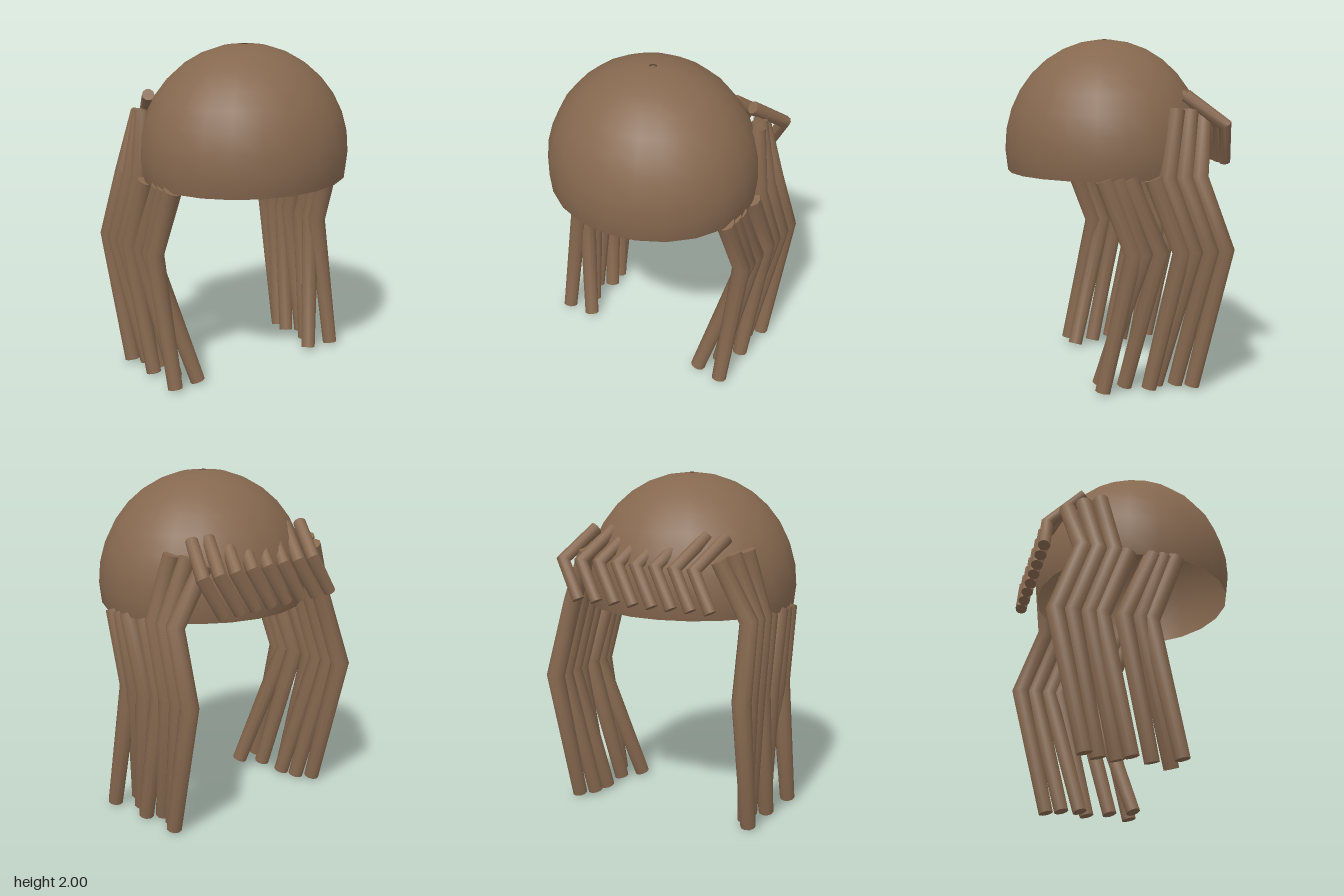
import * as THREE from 'three';
import { toCreasedNormals } from 'three/addons/utils/BufferGeometryUtils.js';

const SIDES = 10;

// Capped tube with mitred bends through points [x, y, z, radius]
function bentTube(points) {
  const pts = points.map(p => new THREE.Vector3(p[0], p[1], p[2]));
  const pos = [], index = [];
  const ref = new THREE.Vector3(1, 0, 0);
  const last = pts.length - 1;
  pts.forEach((p, i) => {
    const a = pts[Math.min(i + 1, last)].clone().sub(pts[Math.min(i, last - 1)]).normalize();
    const b = pts[Math.max(i, 1)].clone().sub(pts[Math.max(i - 1, 0)]).normalize();
    const t = a.add(b).normalize();
    const u = new THREE.Vector3().crossVectors(t, ref).normalize();
    const v = new THREE.Vector3().crossVectors(t, u);
    for (let k = 0; k < SIDES; k++) {
      const ang = (k / SIDES) * Math.PI * 2;
      const q = p.clone()
        .addScaledVector(u, Math.cos(ang) * points[i][3])
        .addScaledVector(v, Math.sin(ang) * points[i][3]);
      pos.push(q.x, q.y, q.z);
    }
  });
  for (let i = 0; i < last; i++) {
    for (let k = 0; k < SIDES; k++) {
      const n = (k + 1) % SIDES, a = i * SIDES;
      index.push(a + k, a + n, a + SIDES + k, a + n, a + SIDES + n, a + SIDES + k);
    }
  }
  // End caps
  const e = last * SIDES;
  for (let k = 1; k < SIDES - 1; k++) {
    index.push(0, k + 1, k, e, e + k, e + k + 1);
  }
  const geo = new THREE.BufferGeometry();
  geo.setAttribute('position', new THREE.Float32BufferAttribute(pos, 3));
  geo.setIndex(index);
  return toCreasedNormals(geo, 0.9);
}

export function createModel() {
  const model = new THREE.Group();
  model.name = 'wig';
  const hair = new THREE.MeshStandardMaterial({ color: 0x86684f, side: THREE.DoubleSide });
  hair.name = 'brown hair';

  function add(name, geo, parent = model) {
    const mesh = new THREE.Mesh(geo, hair);
    mesh.name = name;
    parent.add(mesh);
  }

  // Open dome with a small hole at the crown
  const dome = new THREE.SphereGeometry(0.64, 22, 9, 0, Math.PI * 2, 0.035, 1.756);
  dome.scale(1, 1, 0.935);
  dome.translate(0, 1.36, 0.036);
  add('cap', dome);

  // Long side locks: bottom x, bottom z, knee z, upper z, optional tip [x, y, z]
  const locks = [
    [0.60, 0.165, -0.01, 0.15],
    [0.43, 0.15, -0.07, 0.08],
    [0.51, 0.02, -0.16, 0.02],
    [0.58, -0.11, -0.29, -0.13],
    [0.50, -0.17, -0.36, -0.21, [0.51, 1.61, -0.28]],
    [0.52, -0.28, -0.455, -0.305, [0.47, 1.6, -0.37]],
    [0.58, -0.365, -0.545, -0.395, [0.43, 1.57, -0.46]],
  ];
  for (const side of [1, -1]) {
    const group = new THREE.Group();
    group.name = side > 0 ? 'leftLocks' : 'rightLocks';
    model.add(group);
    for (const [bx, bz, kz, uz, tip] of locks) {
      const path = [
        [side * bx, 0.012, bz, 0.045],
        [side * 0.615, 0.81, kz, 0.056],
        [side * 0.585, 1.23, uz, 0.055],
      ];
      if (tip) path.push([side * tip[0], tip[1], tip[2], 0.05]);
      add('lock', bentTube(path), group);
    }
  }

  // Row of short bent locks across the back
  const backRow = new THREE.Group();
  backRow.name = 'backLocks';
  model.add(backRow);
  for (let i = 0; i < 8; i++) {
    const x = -0.425 + i * 0.122;
    add('backLock', bentTube([
      [x - 0.02, 1.3, -0.595, 0.036],
      [x + 0.1, 1.52, -0.56, 0.041],
      [x, 1.685, -0.355, 0.038],
    ]), backRow);
  }
  return model;
}
